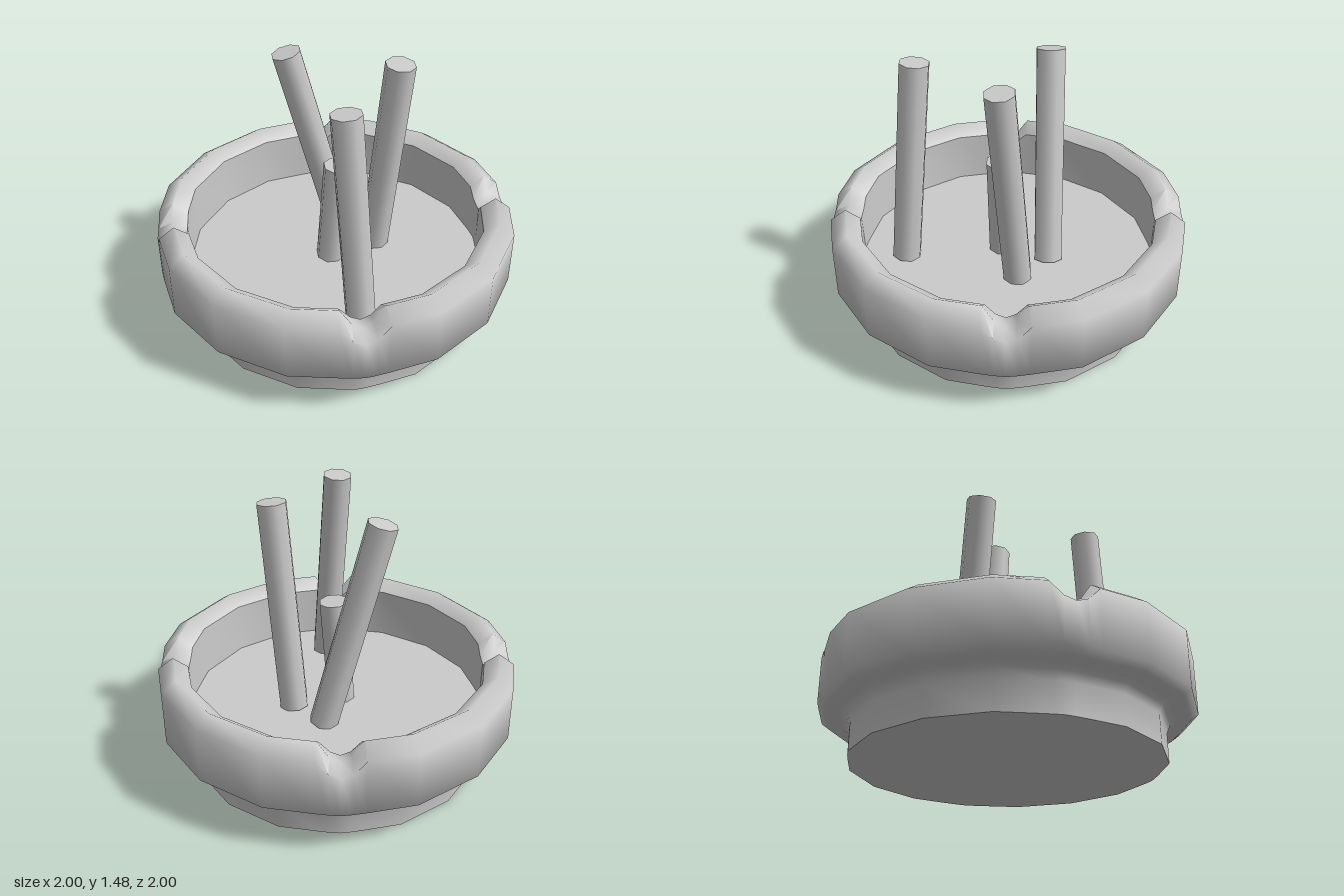
import * as THREE from 'three';
import { toCreasedNormals } from 'three/addons/utils/BufferGeometryUtils.js';

const material = new THREE.MeshStandardMaterial({ color: 0xcccccc });

// One quarter of the outline: angle in degrees, radius factor, notch depth factor
const QUARTER = [
  [0, 1, 0], [22.5, 1, 0], [37.7, 0.985, 0], [41.5, 0.99, 0.75],
  [45, 0.995, 1], [48.5, 0.99, 0.75], [52.3, 0.985, 0], [67.5, 1, 0],
];

// Sweeps a profile of [radius, height, notch drop] around the notched outline
function sweep(name, profile, crease) {
  const columns = [];
  for (let q = 0; q < 4; q++) {
    for (const [deg, k, dent] of QUARTER) {
      columns.push([THREE.MathUtils.degToRad(deg + q * 90), k, dent]);
    }
  }
  const n = columns.length;
  const positions = [];
  const index = [];
  profile.forEach(([r, y, drop], i) => {
    for (const [a, k, dent] of columns) {
      positions.push(r * k * Math.cos(a), y - drop * dent, r * k * Math.sin(a));
    }
    if (i === 0) return;
    for (let j = 0; j < n; j++) {
      const a = (i - 1) * n + j;
      const b = (i - 1) * n + (j + 1) % n;
      if (r > 0) index.push(a, a + n, b + n);
      if (profile[i - 1][0] > 0) index.push(a, b + n, b);
    }
  });
  const geometry = new THREE.BufferGeometry();
  geometry.setAttribute('position', new THREE.Float32BufferAttribute(positions, 3));
  geometry.setIndex(index);
  const mesh = new THREE.Mesh(toCreasedNormals(geometry, crease), material);
  mesh.name = name;
  return mesh;
}

// Eight-sided stick between two points
function stick(name, bottom, top) {
  const from = new THREE.Vector3(...bottom);
  const axis = new THREE.Vector3(...top).sub(from);
  const geometry = new THREE.CylinderGeometry(0.082, 0.082, axis.length(), 8);
  geometry.rotateY(Math.PI / 8);
  const mesh = new THREE.Mesh(geometry, material);
  mesh.name = name;
  mesh.position.copy(from).addScaledVector(axis, 0.5);
  mesh.quaternion.setFromUnitVectors(new THREE.Vector3(0, 1, 0), axis.normalize());
  return mesh;
}

export function createModel() {
  const model = new THREE.Group();
  model.name = 'ashtray';

  // Foot, overhanging body and peaked rim
  model.add(sweep('bowlOutside', [
    [0, 0, 0], [0.83, 0, 0], [0.83, 0.16, 0], [0.85, 0.205, 0], [0.885, 0.222, 0],
    [0.96, 0.23, 0], [1, 0.26, 0], [1, 0.57, 0.09], [0.915, 0.63, 0.115], [0.835, 0.57, 0.07],
  ], THREE.MathUtils.degToRad(75)));

  // Inner wall and floor
  model.add(sweep('bowlInside', [
    [0.835, 0.57, 0.07], [0.83, 0.28, 0], [0, 0.28, 0],
  ], THREE.MathUtils.degToRad(50)));

  // Leaning sticks and the short stub
  const sticks = new THREE.Group();
  sticks.name = 'sticks';
  sticks.add(
    stick('leftStick', [-0.11, 0.28, -0.215], [-0.32, 1.45, 0]),
    stick('backStick', [0.13, 0.28, -0.21], [0.262, 1.47, -0.21]),
    stick('frontStick', [0.445, 0.28, 0.375], [0.325, 1.46, 0.352]),
    stick('stub', [0, 0.28, 0.04], [0.037, 0.89, 0.018]),
  );
  model.add(sticks);
  return model;
}
